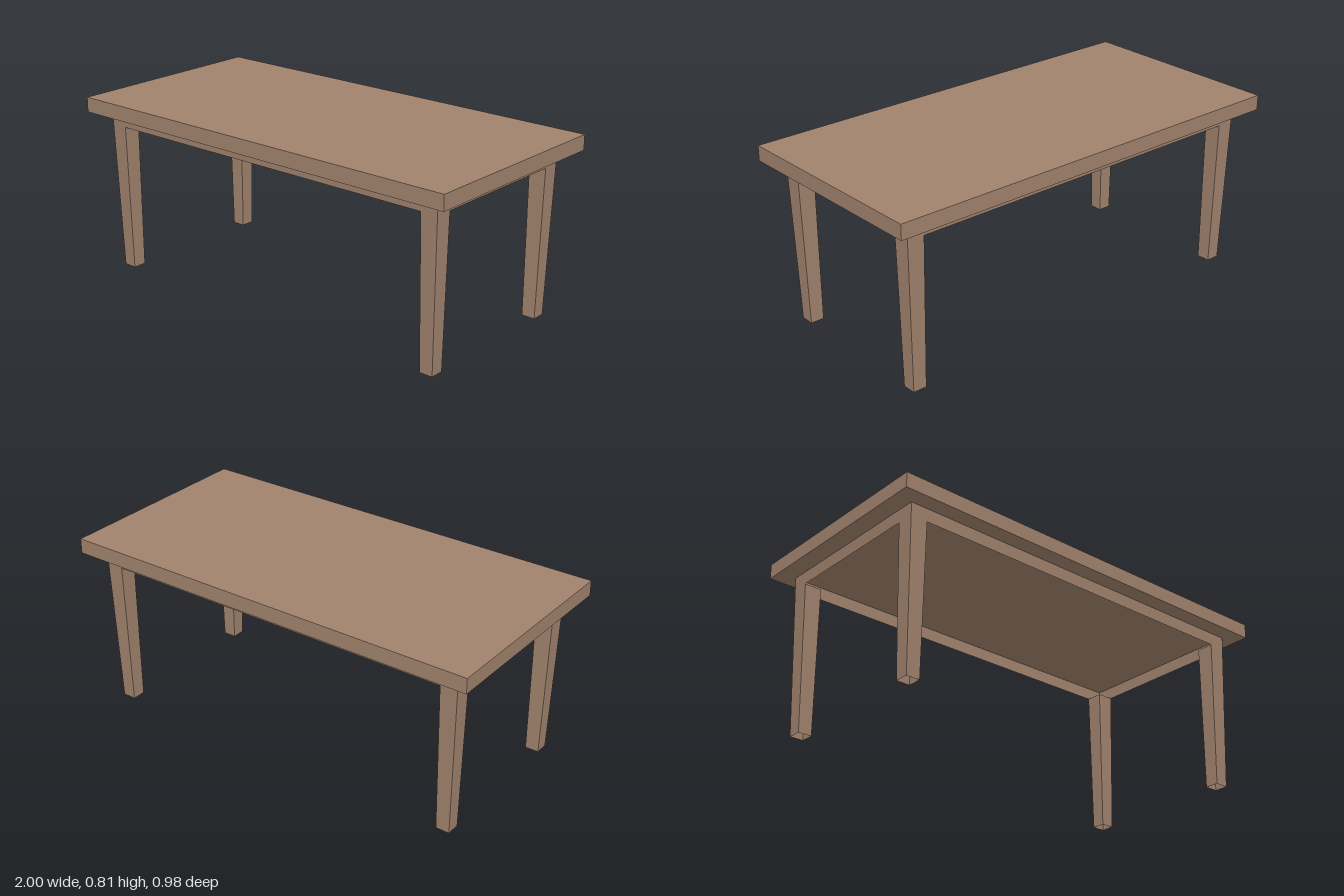
import * as THREE from 'three';

const TOP_Y = 0.815, SLAB_Y = 0.746, APRON_Y = 0.687;
const INNER_X = 0.837, INNER_Z = 0.334;

// Outer faces lean slightly outwards towards the top
const outerX = (y) => 0.9 + 0.018 * y / SLAB_Y;
const outerZ = (y) => 0.397 + 0.018 * y / SLAB_Y;

// Corners of a level rectangle, in order around the outside
function rect(xa, xb, za, zb, y) {
  const x0 = Math.min(xa, xb), x1 = Math.max(xa, xb);
  const z0 = Math.min(za, zb), z1 = Math.max(za, zb);
  return [[x1, y, z1], [x1, y, z0], [x0, y, z0], [x0, y, z1]];
}

// Four flat walls between two rectangles, open above and below
function walls(bottom, top) {
  const points = [];
  for (let i = 0; i < 4; i++) {
    const j = (i + 1) % 4;
    points.push(bottom[i], bottom[j], top[j], bottom[i], top[j], top[i]);
  }
  const geometry = new THREE.BufferGeometry();
  geometry.setAttribute('position', new THREE.Float32BufferAttribute(points.flat(), 3));
  geometry.computeVertexNormals();
  return geometry;
}

export function createModel() {
  const table = new THREE.Group();
  table.name = 'table';
  const wood = new THREE.MeshStandardMaterial({ color: 0xa0826d, side: THREE.DoubleSide });
  wood.name = 'brown wood';

  const add = (name, geometry) => {
    const mesh = new THREE.Mesh(geometry, wood);
    mesh.name = name;
    table.add(mesh);
    return mesh;
  };

  // Table top
  add('tableTop', new THREE.BoxGeometry(2, TOP_Y - SLAB_Y, 0.98))
    .position.y = (TOP_Y + SLAB_Y) / 2;

  // Thin apron running around under the top
  const apronLoop = (y) => rect(-outerX(y), outerX(y), -outerZ(y), outerZ(y), y);
  add('apron', walls(apronLoop(APRON_Y), apronLoop(SLAB_Y)));

  // Hollow tapered legs, flush with the apron on the outside
  for (const [sx, xName] of [[1, 'Left'], [-1, 'Right']]) {
    for (const [sz, zName] of [[1, 'front'], [-1, 'back']]) {
      const legLoop = (y) =>
        rect(sx * INNER_X, sx * outerX(y), sz * INNER_Z, sz * outerZ(y), y);
      add(`${zName}${xName}Leg`, walls(legLoop(0), legLoop(APRON_Y)));
    }
  }
  return table;
}
